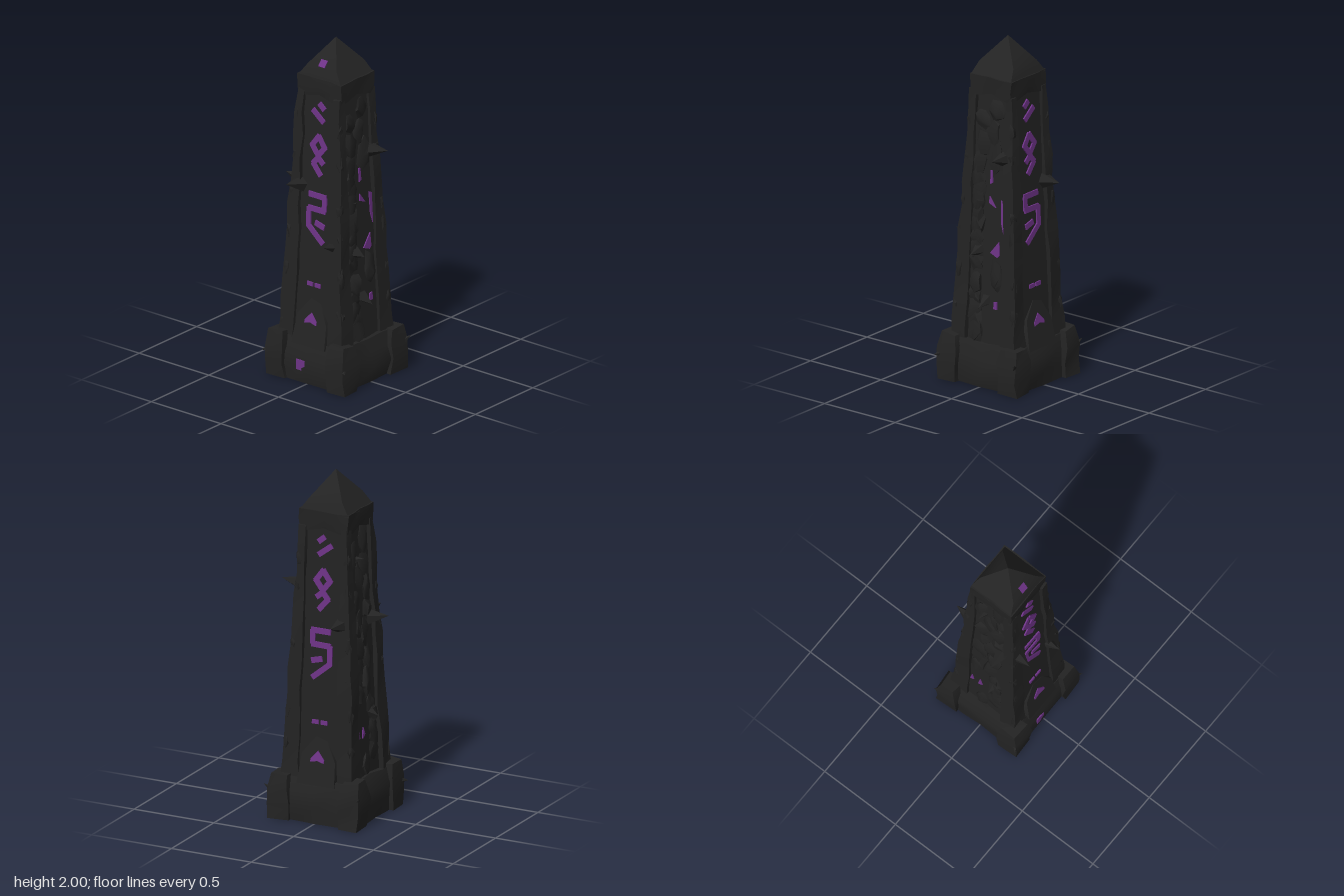
import * as THREE from 'three';
import { toCreasedNormals } from 'three/addons/utils/BufferGeometryUtils.js';

const stone = new THREE.MeshStandardMaterial({ color: 0x232323 });
const glow = new THREE.MeshStandardMaterial({ color: 0x6e3387 });
stone.name = 'dark stone';
glow.name = 'purple rune';

const lerp = THREE.MathUtils.lerp;
const outer = y => lerp(0.225, 0.153, (y - 0.25) / 1.43); // pillar face
const panel = y => lerp(0.203, 0.133, (y - 0.25) / 1.43); // recessed face
const moundFace = y => panel(y) + 0.002 + (0.49 - y) * 0.15;

let seed = 7;
const rnd = (a = 0, b = 1) => {
  seed = (seed * 16807) % 2147483647;
  return a + (b - a) * seed / 2147483647;
};

// Apply a rule to every vertex
function warp(geo, rule) {
  const p = geo.attributes.position, v = new THREE.Vector3();
  for (let i = 0; i < p.count; i++) {
    v.fromBufferAttribute(p, i);
    rule(v);
    p.setXYZ(i, v.x, v.y, v.z);
  }
  return geo;
}

// Weathering: coincident corners always move together
function rough(geo, amp, salt = 0) {
  const h = (v, k) => {
    const s = Math.sin(Math.round(v.x * 500) * 12.9 + Math.round(v.y * 500) * 78.2 + Math.round(v.z * 500) * 37.7 + k + salt) * 43758.5;
    return (s - Math.floor(s) - 0.5) * 2 * amp;
  };
  return warp(geo, v => {
    const d = [h(v, 1), h(v, 2), h(v, 3)];
    v.set(v.x + d[0], v.y < 0.003 ? v.y : Math.max(0, v.y + d[1]), v.z + d[2]);
  });
}

function add(parent, name, geo, mat = stone) {
  const mesh = new THREE.Mesh(toCreasedNormals(geo, 0.8), mat);
  mesh.name = name;
  parent.add(mesh);
  return mesh;
}

// Irregular boulder
function rock(sx, sy, sz) {
  const g = rough(new THREE.DodecahedronGeometry(1, 0).translate(0, 5, 0), 0.22, rnd(0, 50)).translate(0, -5, 0);
  return g.rotateZ(rnd(0, 3)).scale(sx, sy, sz);
}

// Cone running from a root point to a tip
function spike(parent, root, tip, r) {
  const a = new THREE.Vector3(...root), b = new THREE.Vector3(...tip);
  const len = a.distanceTo(b);
  const m = add(parent, 'thorn', new THREE.ConeGeometry(r, len, 5).translate(0, len / 2, 0));
  m.position.copy(a);
  m.quaternion.setFromUnitVectors(new THREE.Vector3(0, 1, 0), b.sub(a).normalize());
}

// Rune strokes as [u1, v1, u2, v2] on a sloping face
const runes = [
  [-0.03, 1.615, 0.0, 1.64], [-0.028, 1.54, 0.045, 1.595],
  [0, 1.45, -0.045, 1.388], [0, 1.45, 0.045, 1.388], [-0.045, 1.392, 0, 1.335], [0.045, 1.392, 0, 1.335],
  [0, 1.325, -0.035, 1.295], [0, 1.325, 0.033, 1.285], [0.033, 1.285, -0.02, 1.225],
  [-0.062, 1.10, 0.05, 1.10], [-0.056, 1.095, -0.056, 1.025], [-0.058, 1.02, 0.052, 1.018],
  [0.053, 1.015, 0.053, 0.915], [0.053, 0.915, -0.05, 0.83], [-0.055, 0.925, 0.0, 0.94],
  [-0.042, 0.575, -0.012, 0.575], [0.012, 0.575, 0.042, 0.575],
];

function stroke(parent, [u1, v1, u2, v2]) {
  const g = new THREE.BoxGeometry(Math.hypot(u2 - u1, v2 - v1) + 0.012, v1 === 0.575 ? 0.023 : 0.032, 0.009);
  g.rotateZ(Math.atan2(v2 - v1, u2 - u1)).translate((u1 + u2) / 2, (v1 + v2) / 2, 0);
  add(parent, 'runeStroke', warp(g, v => { v.z += panel(v.y) + 0.004; }), glow);
}

// Thin glowing plate from outline corners in the face frame
function plate(parent, pts, z) {
  const shape = new THREE.Shape(pts.map(p => new THREE.Vector2(...p)));
  const g = new THREE.ExtrudeGeometry(shape, { depth: 0.008, bevelEnabled: false });
  add(parent, 'glowingShard', warp(g, v => { v.z += z(v.y); }), glow);
}

// Rune fragments left uncovered by the rubble, with the heights of the gaps
const broken = {
  front: {
    clear: -1, gaps: [0.48, 0.8, 0.95, 1.06, 1.21],
    shards: [
      [[0.02, 0.775], [0.07, 0.755], [0.085, 0.77], [0.08, 0.85]],
      [[0.055, 0.455], [0.08, 0.455], [0.078, 0.5], [0.055, 0.495]],
      [[0.09, 0.96], [0.108, 0.9], [0.106, 1.08], [0.085, 1.09]],
      [[0.0, 1.06], [0.05, 1.04], [0.005, 1.1]],
      [[0.005, 1.17], [0.022, 1.18], [0.018, 1.25], [0.005, 1.25]],
    ],
  },
  back: {
    clear: 1, gaps: [0.5],
    shards: [
      [[-0.055, 0.47], [-0.025, 0.49], [-0.045, 0.535]],
      [[-0.11, 0.47], [-0.085, 0.48], [-0.1, 0.53]],
    ],
  },
};

export function createModel() {
  const model = new THREE.Group();
  model.name = 'obelisk';

  // Tapered core behind the recessed panels
  add(model, 'shaftCore', warp(new THREE.BoxGeometry(2, 1.55, 2).translate(0, 0.925, 0),
    v => { v.x *= panel(v.y); v.z *= panel(v.y); }));

  // Corner pillars, plinth blocks and base thorns
  for (const sx of [-1, 1]) for (const sz of [-1, 1]) {
    const pillar = new THREE.BoxGeometry(1, 1.5, 1, 1, 11, 1).translate(0, 0.95, 0);
    warp(pillar, v => {
      const o = outer(v.y), i = lerp(0.122, 0.106, v.y / 1.7);
      const c = (o + i) / 2, w = o - i;
      v.set(sx * c + v.x * w, v.y, sz * c + v.z * w);
    });
    add(model, 'cornerPillar', rough(pillar, 0.008));

    const block = new THREE.BoxGeometry(0.13, 0.27, 0.13, 1, 3, 1).translate(0, 0.135, 0);
    warp(block, v => {
      const k = v.y > 0.25 ? 0.72 : v.y > 0.15 ? 1.04 : 0.98;
      v.x = v.x * k + sx * 0.216;
      v.z = v.z * k + sz * 0.218;
    });
    add(model, 'plinthBlock', rough(block, 0.011));
    spike(model, [sx * 0.25, 0.15, sz * 0.25], [sx * 0.288, 0.17 + sx * 0.03, sz * 0.3], 0.028);

    // Chips along the pillar edges
    for (let k = 0; k < 6; k++) {
      const y = 0.38 + k * 0.225 + rnd(-0.06, 0.06), o = outer(y) - 0.016;
      const chip = add(model, 'pillarChip', rock(0.022, rnd(0.04, 0.07), 0.022));
      chip.position.set(sx * o, y, sz * o);
    }
  }

  // Plinth slab with a sloping top
  const slab = new THREE.BoxGeometry(2, 0.25, 2, 4, 3, 4).translate(0, 0.125, 0);
  warp(slab, v => {
    const k = v.y > 0.2 ? 0.226 : v.y > 0.1 ? 0.256 : v.y > 0.05 ? 0.26 : 0.25;
    v.x *= k;
    v.z *= k;
  });
  add(model, 'plinth', rough(slab, 0.008));

  // Carved faces: +z, -z, +x, -x
  const faces = [['front', 0], ['back', Math.PI], ['left', Math.PI / 2], ['right', -Math.PI / 2]];
  for (const [name, angle] of faces) {
    const face = new THREE.Group();
    face.name = name + 'Face';
    face.rotation.y = angle;
    model.add(face);

    if (name === 'left' || name === 'right') {
      const m = name === 'left' ? 1 : -1;
      for (const [a, b, c, d] of runes) stroke(face, [a * m, b, c * m, d]);
      // Sloping stone mound with a chevron
      const mound = new THREE.Shape([[-0.118, 0.22], [0.118, 0.22], [0.11, 0.36], [0.05, 0.47], [-0.02, 0.49], [-0.1, 0.39]]
        .map(p => new THREE.Vector2(...p)));
      add(face, 'mound', warp(new THREE.ExtrudeGeometry(mound, { depth: 0.04, bevelEnabled: false }),
        v => { v.z += moundFace(v.y) - 0.04; }));
      plate(face, [[-0.042, 0.348], [0, 0.358], [0.042, 0.348], [0.042, 0.368], [0, 0.414], [-0.042, 0.368]],
        y => moundFace(y) - 0.003);
    } else {
      // Broken rubble filling the panel, kept clear of the exposed fragments
      const { clear, gaps, shards } = broken[name];
      for (let k = 0; k < 20; k++) {
        const y = 0.31 + k * 0.068;
        const open = gaps.some(g => Math.abs(g - y) < 0.11);
        const u = open ? clear * 0.075 : (k % 2 ? 1 : -1) * rnd(0.015, 0.07);
        const r = add(face, 'rubble', rock(open ? 0.05 : rnd(0.045, 0.065), rnd(0.065, 0.1), rnd(0.017, 0.028)));
        r.position.set(u, y, panel(y) - 0.002);
        r.rotation.set(-0.05, rnd(-0.25, 0.25), 0);
      }
      for (const pts of shards) plate(face, pts, y => panel(y) - 0.001);
    }
  }

  // Pyramid cap with a worn collar
  const cap = new THREE.BoxGeometry(2, 0.13, 2, 4, 2, 4).translate(0, 1.725, 0);
  warp(cap, v => {
    const k = v.y < 1.67 ? 0.147 : 0.15;
    if (v.y < 1.67) v.y += 0.035 * (1 - Math.min(Math.abs(v.x), Math.abs(v.z)));
    v.x *= k * 0.965;
    v.z *= k * 1.03;
  });
  add(model, 'capCollar', rough(cap, 0.004));
  const tip = new THREE.ConeGeometry(Math.SQRT2, 0.22, 4, 3).rotateY(Math.PI / 4).translate(0, 1.89, 0);
  add(model, 'capPyramid', warp(tip, v => {
    const t = (v.y - 1.78) / 0.22;
    v.x *= 0.143 * (t > 0.2 && t < 0.9 ? 1.26 : 1);
    v.z *= 0.154;
  }));
  // Glowing shard on the cap
  const shard = add(model, 'capShard', new THREE.BoxGeometry(0.009, 0.045, 0.045), glow);
  shard.position.set(-0.107, 1.87, -0.003);
  shard.rotation.z = -0.69;
  // Glowing shard on the plinth
  const low = add(model, 'plinthShard', new THREE.BoxGeometry(0.009, 0.06, 0.06), glow);
  low.position.set(-0.259, 0.105, -0.04);

  // Large thorns on the shaft
  spike(model, [0.14, 1.15, -0.12], [0.275, 1.16, -0.11], 0.055);
  spike(model, [-0.14, 1.14, -0.12], [-0.265, 1.16, -0.14], 0.055);
  spike(model, [0.1, 1.33, 0.12], [0.11, 1.355, 0.282], 0.055);
  spike(model, [-0.09, 1.13, -0.14], [-0.1, 1.155, -0.278], 0.055);
  // Small thorns
  spike(model, [-0.18, 0.83, 0.13], [-0.262, 0.85, 0.13], 0.032);
  spike(model, [-0.06, 0.78, 0.16], [-0.06, 0.765, 0.255], 0.045);
  spike(model, [0.0, 0.5, 0.17], [0.0, 0.465, 0.262], 0.04);
  spike(model, [0.05, 1.5, -0.12], [0.05, 1.52, -0.2], 0.035);
  spike(model, [-0.05, 0.6, -0.17], [-0.05, 0.58, -0.24], 0.04);
  return model;
}
